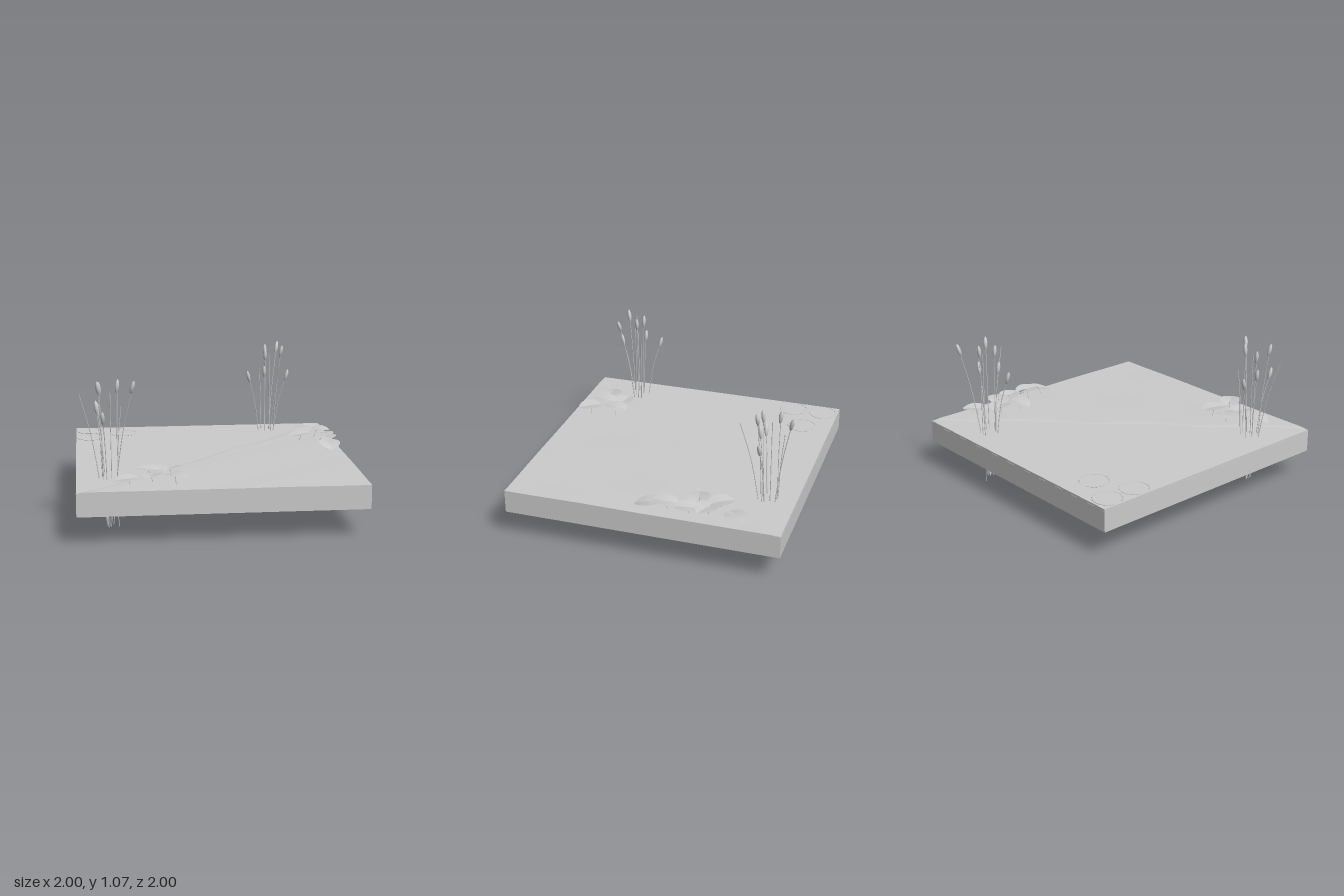
import * as THREE from 'three';
import { toCreasedNormals } from 'three/addons/utils/BufferGeometryUtils.js';

const grey = new THREE.MeshStandardMaterial({ color: 0xcccccc });
const thin = new THREE.MeshStandardMaterial({ color: 0xcccccc, side: THREE.DoubleSide });
const WATER = 0.367;

function part(name, geometry, parent, material = grey) {
  const mesh = new THREE.Mesh(geometry, material);
  mesh.name = name;
  parent.add(mesh);
  return mesh;
}

// Bank height: dips under the water behind the diagonal shore, gently lumpy in front
function bankHeight(x, z) {
  const d = x + z + 0.03 + 0.025 * Math.sin(5 * (x - z));
  const rise = THREE.MathUtils.smoothstep(d, -0.08, 0.12);
  const lumps = 0.0015 * Math.sin(7 * x + 2 * z) * Math.sin(6 * z - x);
  return 0.352 + 0.019 * rise + lumps * rise;
}

function bankGeometry() {
  const geo = new THREE.BoxGeometry(2, 0.17, 2, 64, 1, 64).translate(0, 0.285, 0);
  const p = geo.attributes.position;
  for (let i = 0; i < p.count; i++) {
    if (p.getY(i) > 0.3) p.setY(i, bankHeight(p.getX(i), p.getZ(i)));
  }
  return toCreasedNormals(geo, 0.6);
}

// Notched leaf: tip towards +x, notch towards -x, folded up along the midrib
function leafGeometry(length, width, point, fold, gap, droop = 0) {
  const rings = 4, segs = 32, pos = [], index = [];
  for (let r = 0; r <= rings; r++) {
    for (let s = 0; s <= segs; s++) {
      const a = (s / segs * 2 - 1) * (Math.PI - gap), t = r / rings;
      const lobe = 1 + point * Math.pow(Math.max(0, Math.cos(a)), 8);
      const x = t * length * Math.cos(a) * lobe, z = t * width * Math.sin(a);
      pos.push(x, fold * Math.abs(z) - droop * x * x, z);
      if (r < rings && s < segs) {
        const k = r * (segs + 1) + s;
        index.push(k, k + 1, k + segs + 1, k + 1, k + segs + 2, k + segs + 1);
      }
    }
  }
  const geo = new THREE.BufferGeometry();
  geo.setAttribute('position', new THREE.Float32BufferAttribute(pos, 3));
  geo.setIndex(index);
  geo.computeVertexNormals();
  return geo;
}

// Stalk tips as offsets from the clump centre: x, y, z, has a seed head
const stalks = [
  [0.11, 1.02, -0.165, 1], [-0.15, 0.82, 0.07, 1], [0.0, 1.01, -0.065, 1],
  [-0.015, 0.99, 0.06, 1], [0.16, 0.82, 0.04, 1], [0.11, 1.02, 0.07, 1],
  [-0.025, 0.86, 0.08, 1], [0.09, 0.97, 0.195, 0], [-0.04, 0.86, -0.09, 0],
  [0.03, 0.98, -0.015, 0],
];

function reedClump(name, x, z, turn) {
  const clump = new THREE.Group();
  clump.name = name;
  clump.position.set(x, 0, z);
  clump.rotation.y = turn;
  const headProfile = [[0, -0.05], [0.008, -0.042], [0.014, -0.015], [0.015, 0.01], [0.01, 0.036], [0, 0.05]]
    .map(([r, y]) => new THREE.Vector2(r, y));
  const headGeo = new THREE.LatheGeometry(headProfile, 10);
  stalks.forEach(([tx, ty, tz, hasHead], i) => {
    const a = Math.atan2(tz, tx), ring = 0.05 + 0.012 * (i % 3);
    const at = (r, y, k) => new THREE.Vector3(Math.cos(a) * r + tx * k, y, Math.sin(a) * r + tz * k);
    const top = new THREE.Vector3(tx, ty, tz);
    const low = i === 8 ? at(0.075, 0, 0) : at(0.01 + 0.008 * (i % 3), 0.01 + 0.007 * (i % 4), 0);
    const curve = new THREE.CatmullRomCurve3([
      low, at(ring * 0.6, 0.22, 0.08), at(ring * 0.65, 0.42, 0.2),
      at(ring * 0.35, 0.3 + ty * 0.4, 0.52), top,
    ]);
    part('stalk', new THREE.TubeGeometry(curve, 20, 0.0028, 5), clump);
    if (hasHead) {
      const head = part('seedHead', headGeo, clump);
      head.position.copy(top);
      head.quaternion.setFromUnitVectors(new THREE.Vector3(0, 1, 0),
        new THREE.Vector3(tx * 1.6, 1, tz * 1.6).normalize());
    }
  });
  return clump;
}

// Raised leaves: x, y, z, heading of the tip in degrees (towards -z), tilt
function leafPatch(name, leaves) {
  const patch = new THREE.Group();
  patch.name = name;
  const leafGeo = leafGeometry(0.088, 0.08, 0.16, 0.16, 0.22, 0.8);
  for (const [x, y, z, heading, tilt] of leaves) {
    const leaf = part('bankLeaf', leafGeo, patch, thin);
    leaf.position.set(x, y, z);
    leaf.rotation.set(0, THREE.MathUtils.degToRad(heading), tilt, 'YXZ');
    const stem = new THREE.CatmullRomCurve3([
      new THREE.Vector3(x * 0.97, 0.36, z), new THREE.Vector3(x * 0.98, 0.39, z), new THREE.Vector3(x, y, z),
    ]);
    part('leafStem', new THREE.TubeGeometry(stem, 6, 0.0018, 4), patch);
  }
  return patch;
}

export function createModel() {
  const model = new THREE.Group();
  model.name = 'pondTile';

  // Ground block and water
  part('bank', bankGeometry(), model);
  part('water', new THREE.BoxGeometry(1.998, 0.16, 1.998), model).position.y = WATER - 0.08;

  // Reeds at both ends of the shore
  model.add(reedClump('backReeds', 0.53, -0.8, 0));
  model.add(reedClump('frontReeds', -0.77, 0.6, -Math.PI / 2));

  // Leaves on the bank
  model.add(leafPatch('frontLeaves', [
    [-0.50, 0.432, 0.65, 165, 0.05], [-0.35, 0.445, 0.66, 250, 0.06],
    [-0.65, 0.408, 0.81, 190, -0.05], [-0.49, 0.425, 0.79, 260, 0.08],
    [-0.33, 0.44, 0.86, 310, 0.05],
  ]));
  model.add(leafPatch('sideLeaves', [
    [0.90, 0.41, -0.66, 50, 0.06], [0.78, 0.432, -0.52, 120, 0.05],
    [0.89, 0.438, -0.46, 335, 0.06], [0.755, 0.425, -0.36, 195, -0.06],
    [0.915, 0.43, -0.33, 285, 0.08], [0.905, 0.442, -0.17, 270, 0.06],
    [0.91, 0.418, -0.04, 270, -0.18],
  ]));

  // Floating lily pads with a raised rim
  const padGeo = leafGeometry(0.105, 0.105, 0, 0, 0.24);
  const pads = [[-0.89, -0.88, 0], [-0.89, -0.645, 0], [-0.625, -0.77, -Math.PI / 2]];
  for (const [x, z, turn] of pads) {
    const pad = new THREE.Group();
    pad.name = 'lilyPad';
    pad.position.set(x, WATER + 0.003, z);
    pad.rotation.y = turn;
    part('padDisc', padGeo, pad, thin);
    const rim = part('padRim', new THREE.TorusGeometry(0.103, 0.002, 4, 40, Math.PI * 2 - 0.48), pad);
    rim.rotation.set(Math.PI / 2, 0, Math.PI + 0.24);
    model.add(pad);
  }
  return model;
}
